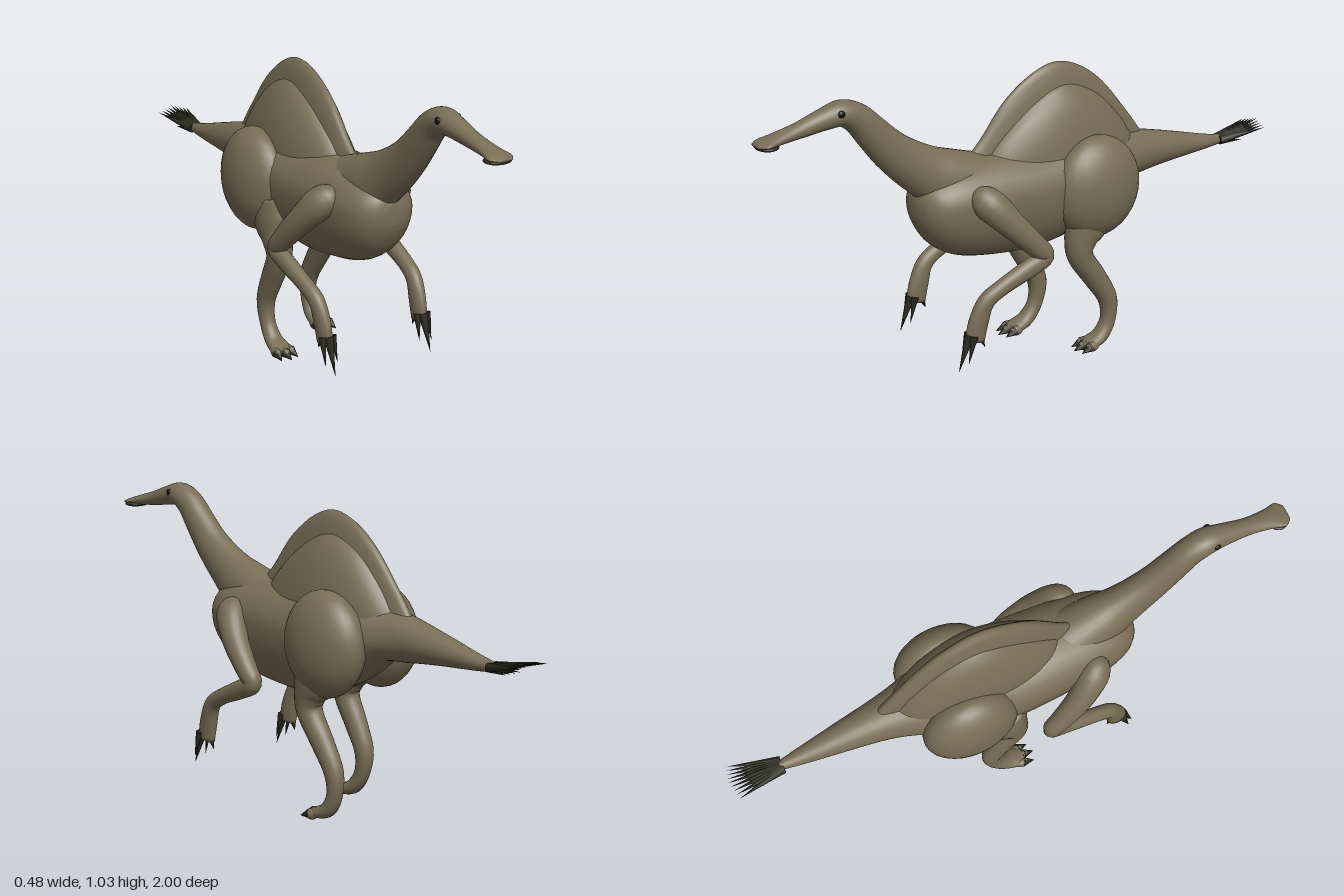
import * as THREE from 'three';

const hide = new THREE.MeshStandardMaterial({ color: 0x786d56 });
hide.name = 'olive hide';
const horn = new THREE.MeshStandardMaterial({ color: 0x2b2a20 });
horn.name = 'dark horn';
const black = new THREE.MeshStandardMaterial({ color: 0x12110d });
black.name = 'eye black';

// Closed smooth skin through sections [x, y, z, halfWidth, depthAbove, depthBelow = depthAbove]
function loft(name, sections, sides = 24, steps = 5) {
  const path = new THREE.CatmullRomCurve3(sections.map(s => new THREE.Vector3(s[0], s[1], s[2])));
  const size = new THREE.CatmullRomCurve3(sections.map(s => new THREE.Vector3(s[3], s[4], s[5] ?? s[4])));
  path.curveType = size.curveType = 'catmullrom';
  const rings = (sections.length - 1) * steps;
  const pos = [], index = [];
  for (let i = 0; i <= rings; i++) {
    const t = i / rings;
    const c = path.getPoint(t), r = size.getPoint(t), T = path.getTangent(t);
    const X = new THREE.Vector3(1, 0, 0).addScaledVector(T, -T.x).normalize();
    const N = new THREE.Vector3().crossVectors(T, X);
    for (let j = 0; j < sides; j++) {
      const a = (j / sides) * Math.PI * 2, s = Math.sin(a);
      const p = c.clone().addScaledVector(X, Math.cos(a) * r.x).addScaledVector(N, s * (s > 0 ? r.y : r.z));
      pos.push(p.x, p.y, p.z);
      if (i === rings) continue;
      const k = i * sides + j, n = i * sides + (j + 1) % sides;
      index.push(k, n, n + sides, k, n + sides, k + sides);
    }
  }
  // end caps
  const first = sections[0], last = sections[sections.length - 1];
  const tip = (rings + 1) * sides, end = rings * sides;
  pos.push(first[0], first[1], first[2], last[0], last[1], last[2]);
  for (let j = 0; j < sides; j++) {
    const n = (j + 1) % sides;
    index.push(tip, n, j, tip + 1, end + j, end + n);
  }
  const g = new THREE.BufferGeometry();
  g.setAttribute('position', new THREE.Float32BufferAttribute(pos, 3));
  g.setIndex(index);
  g.computeVertexNormals();
  const mesh = new THREE.Mesh(g, hide);
  mesh.name = name;
  return mesh;
}

// Loft along the centre line from [z, y, halfWidth, above, below]
const centreLoft = (name, rows) =>
  loft(name, rows.map(([z, y, ...size]) => [0, y, z, ...size]), 32);

// Pointed claw or feather between two points
function spike(name, from, to, radius) {
  const a = new THREE.Vector3(...from), d = new THREE.Vector3(...to).sub(a);
  const g = new THREE.ConeGeometry(radius, d.length(), 8);
  g.translate(0, d.length() / 2, 0);
  const mesh = new THREE.Mesh(g, horn);
  mesh.quaternion.setFromUnitVectors(new THREE.Vector3(0, 1, 0), d.normalize());
  mesh.position.copy(a);
  mesh.name = name;
  return mesh;
}

function ball(name, material, position, scale) {
  const mesh = new THREE.Mesh(new THREE.SphereGeometry(1, 28, 18), material);
  mesh.position.set(...position);
  mesh.scale.set(...scale);
  mesh.name = name;
  return mesh;
}

function leg(side, stride) {
  const group = new THREE.Group();
  group.name = side > 0 ? 'leftLeg' : 'rightLeg';
  const x = side * 0.128;
  const shift = y => stride * (0.08 + 0.07 * (1 - Math.min(y, 0.43) / 0.43));
  group.add(ball('thigh', hide, [side * 0.122, 0.6, -0.19], [0.098, 0.18, 0.168]));
  group.add(loft('shin', [
    [0.56, -0.165, 0.05, 0.08], [0.48, -0.15, 0.055, 0.085], [0.42, -0.125, 0.049, 0.06],
    [0.36, -0.125, 0.043, 0.045], [0.27, -0.185, 0.037, 0.041], [0.18, -0.24, 0.032, 0.035],
    [0.1, -0.245, 0.027, 0.028], [0.045, -0.215, 0.032, 0.026], [0.026, -0.17, 0.038, 0.02],
    [0.024, -0.145, 0.03, 0.014]
  ].map(([y, z, w, h]) => [x, y, z + shift(y), w, h])));
  // toes and their claws
  const z = -0.155 + shift(0.02);
  for (let i = -1; i <= 1; i++) {
    const tx = x + i * 0.027, reach = i === 0 ? 0.012 : 0;
    group.add(ball('toe', hide, [tx, 0.021, z - 0.006 + reach], [0.015, 0.018, 0.026]));
    group.add(spike('toeClaw', [tx, 0.022, z + reach],
      [tx + i * 0.006, 0.008, z + 0.042 + reach], 0.018));
  }
  return group;
}

function arm(side) {
  const group = new THREE.Group();
  group.name = side > 0 ? 'leftArm' : 'rightArm';
  group.add(loft('armAndHand', [
    [0.1, 0.66, 0.28, 0.03, 0.03], [0.145, 0.64, 0.255, 0.05, 0.055], [0.185, 0.56, 0.185, 0.044, 0.046],
    [0.203, 0.48, 0.11, 0.036, 0.038], [0.206, 0.435, 0.075, 0.03, 0.033], [0.204, 0.405, 0.135, 0.028, 0.033],
    [0.2, 0.36, 0.24, 0.026, 0.028], [0.195, 0.32, 0.3, 0.026, 0.03], [0.191, 0.25, 0.328, 0.024, 0.037],
    [0.19, 0.19, 0.34, 0.02, 0.036]
  ].map(([x, ...rest]) => [x * side, ...rest])));
  // three long claws and a short thumb claw
  [[0.17, 0.215, 0.355, 0.165, 0.125, 0.378, 0.013], [0.19, 0.215, 0.36, 0.191, 0.09, 0.405, 0.017],
    [0.21, 0.215, 0.355, 0.213, 0.12, 0.38, 0.013], [0.19, 0.215, 0.325, 0.19, 0.157, 0.302, 0.018]
  ].forEach(([a, b, c, d, e, f, r]) =>
    group.add(spike('handClaw', [a * side, b, c], [d * side, e, f], r)));
  return group;
}

export function createModel() {
  const model = new THREE.Group();
  model.name = 'sailBackedDinosaur';

  // trunk running out of the tail
  model.add(centreLoft('bodyAndTail', [
    [-0.83, 0.609, 0.014, 0.015], [-0.74, 0.615, 0.03, 0.029], [-0.6, 0.629, 0.051, 0.052],
    [-0.46, 0.64, 0.073, 0.076], [-0.36, 0.635, 0.1, 0.105, 0.082], [-0.27, 0.625, 0.135, 0.135, 0.14],
    [-0.15, 0.62, 0.155, 0.155, 0.2], [0, 0.62, 0.16, 0.14, 0.23], [0.15, 0.62, 0.153, 0.14, 0.224],
    [0.3, 0.62, 0.14, 0.125, 0.195], [0.39, 0.62, 0.115, 0.1, 0.143], [0.435, 0.62, 0.075, 0.072, 0.08],
    [0.452, 0.62, 0.03, 0.03]
  ]));

  // neck, head and flat bill
  model.add(centreLoft('neckAndHead', [
    [0.17, 0.66, 0.1, 0.09], [0.33, 0.7, 0.085, 0.098], [0.43, 0.755, 0.064, 0.083],
    [0.52, 0.825, 0.054, 0.068], [0.59, 0.9, 0.05, 0.058], [0.645, 0.962, 0.047, 0.05],
    [0.7, 0.992, 0.046, 0.043], [0.76, 0.985, 0.038, 0.036], [0.85, 0.965, 0.03, 0.026],
    [0.93, 0.951, 0.036, 0.018], [0.975, 0.944, 0.045, 0.011], [1, 0.941, 0.028, 0.005]
  ]));
  model.add(ball('mouth', horn, [0, 0.934, 0.963], [0.047, 0.011, 0.037]));

  // tall narrow sail and the muscle hump beneath it
  model.add(centreLoft('sail', [[-0.47, 0.705], [-0.4, 0.8], [-0.3, 0.92], [-0.2, 0.995], [-0.1, 1.022],
    [0, 0.99], [0.1, 0.915], [0.19, 0.805], [0.25, 0.745]
  ].map(([z, y]) => [z, 0.65, 0.018 + (y - 0.65) * 0.1, y - 0.65, 0.05])));
  model.add(centreLoft('hump', [
    [-0.42, 0.65, 0.04, 0.06, 0.04], [-0.34, 0.65, 0.085, 0.17, 0.07], [-0.24, 0.65, 0.11, 0.265, 0.1],
    [-0.12, 0.65, 0.12, 0.31, 0.1], [0, 0.65, 0.115, 0.265, 0.1], [0.12, 0.65, 0.09, 0.17, 0.1],
    [0.2, 0.65, 0.05, 0.08, 0.06]
  ]));

  // limbs and eyes; the right leg is striding ahead
  for (const side of [-1, 1]) {
    model.add(leg(side, side < 0 ? 1 : 0), arm(side));
    model.add(ball('eye', black, [side * 0.039, 1.002, 0.722], [0.008, 0.012, 0.012]));
  }

  // fan of tail feathers
  const fan = new THREE.Group();
  fan.name = 'tailFan';
  for (let i = -4; i <= 4; i++) {
    const drop = Math.abs(i) * 0.004;
    fan.add(spike('feather', [i * 0.004, 0.61, -0.815], [i * 0.015, 0.655 - drop, -1 + drop], 0.015));
    if (i % 2) fan.add(spike('underFeather', [i * 0.004, 0.605, -0.815], [i * 0.011, 0.602, -0.9], 0.012));
  }
  model.add(fan);
  return model;
}
